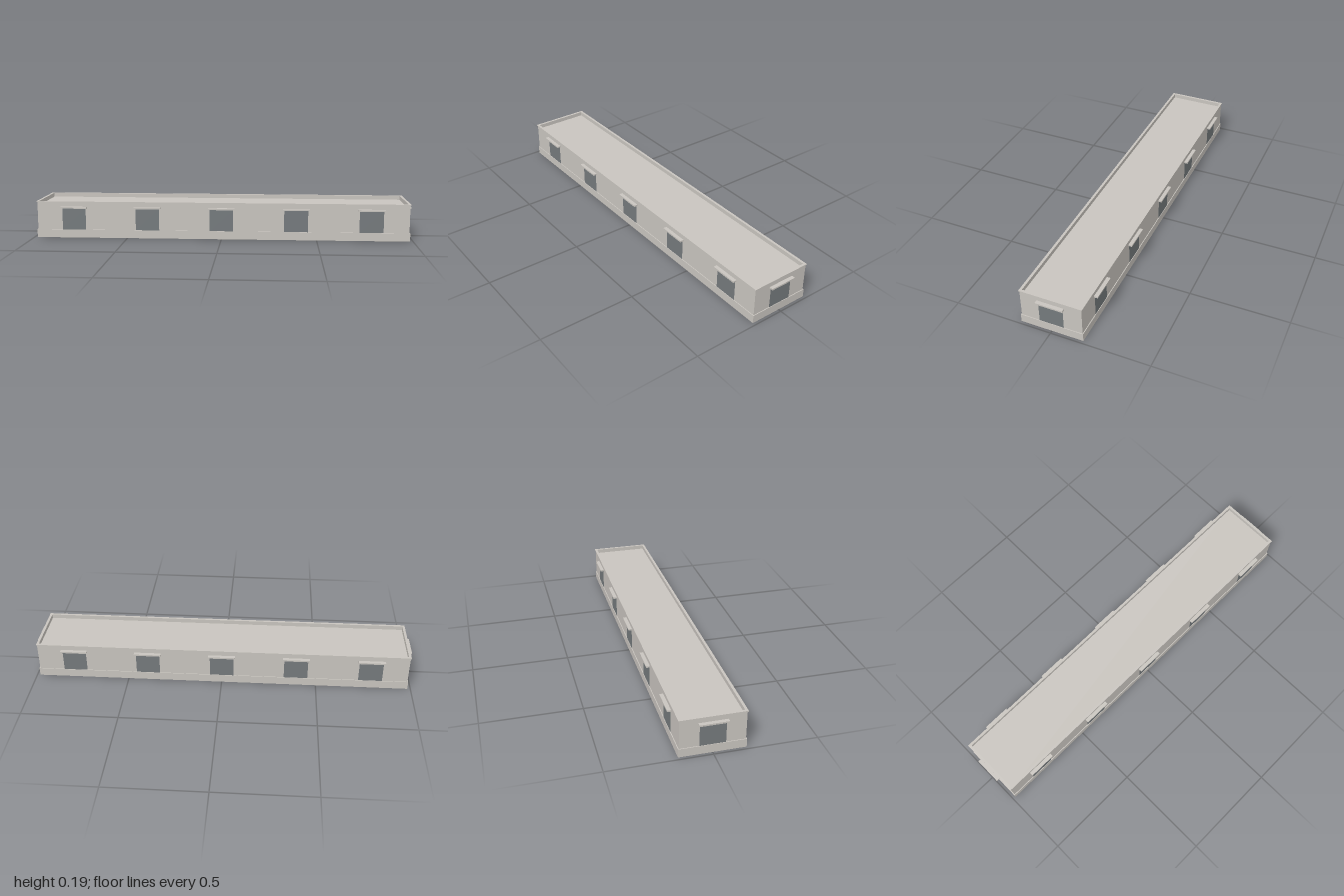
import * as THREE from 'three';

const HX = 0.98, HZ = 0.157; // half size of the wall shell

// Sweeps an [outset, y] profile around the rectangular footprint
function sweep(profile) {
  const corners = [[1, 1], [1, -1], [-1, -1], [-1, 1]];
  const at = ([sx, sz], [o, y]) => [sx * (HX + o), y, sz * (HZ + o)];
  const pos = [];
  for (let i = 0; i < 4; i++) {
    const c = corners[i], d = corners[(i + 1) % 4];
    for (let j = 0; j < profile.length - 1; j++) {
      const a = at(c, profile[j]), b = at(d, profile[j]);
      const e = at(d, profile[j + 1]), f = at(c, profile[j + 1]);
      pos.push(...a, ...b, ...e, ...a, ...e, ...f);
    }
  }
  const g = new THREE.BufferGeometry();
  g.setAttribute('position', new THREE.Float32BufferAttribute(pos, 3));
  g.computeVertexNormals();
  return g;
}

export function createModel() {
  const concrete = new THREE.MeshStandardMaterial({ color: 0xc8c4be, side: THREE.DoubleSide });
  concrete.name = 'concrete';
  const glass = new THREE.MeshStandardMaterial({ color: 0x74797c });
  glass.name = 'dark glass';

  const model = new THREE.Group();
  model.name = 'longBuilding';
  const add = (parent, name, geometry, material) => {
    const mesh = new THREE.Mesh(geometry, material);
    mesh.name = name;
    parent.add(mesh);
    return mesh;
  };

  // Hollow shell, open underneath
  add(model, 'plinth', sweep([[0.004, 0], [0.004, 0.043], [0, 0.043]]), concrete);
  add(model, 'walls', sweep([[0, 0.043], [0, 0.189]]), concrete);
  add(model, 'parapet', sweep([[0, 0.189], [0.004, 0.189], [0.004, 0.194], [-0.009, 0.194], [-0.009, 0.172]]), concrete);

  // Sunken flat roof
  const roof = add(model, 'roof', new THREE.PlaneGeometry(2 * HX, 2 * HZ).rotateX(-Math.PI / 2), concrete);
  roof.position.y = 0.172;

  // Window with a canopy above it, facing +z before turning
  const windowGeo = new THREE.PlaneGeometry(0.125, 0.115);
  const canopyGeo = new THREE.BoxGeometry(0.14, 0.008, 0.019);
  function addWindow(x, z, turn) {
    const unit = new THREE.Group();
    unit.name = 'windowUnit';
    add(unit, 'window', windowGeo, glass).position.set(0, 0.1005, 0.0015);
    add(unit, 'canopy', canopyGeo, concrete).position.set(0, 0.162, 0.0105);
    unit.position.set(x, 0, z);
    unit.rotation.y = turn;
    model.add(unit);
  }

  // Five on each long side, one on each end
  for (let i = -2; i <= 2; i++) {
    addWindow(i * 0.392, HZ, 0);
    addWindow(i * 0.392, -HZ, Math.PI);
  }
  addWindow(HX, 0, Math.PI / 2);
  addWindow(-HX, 0, -Math.PI / 2);

  return model;
}
